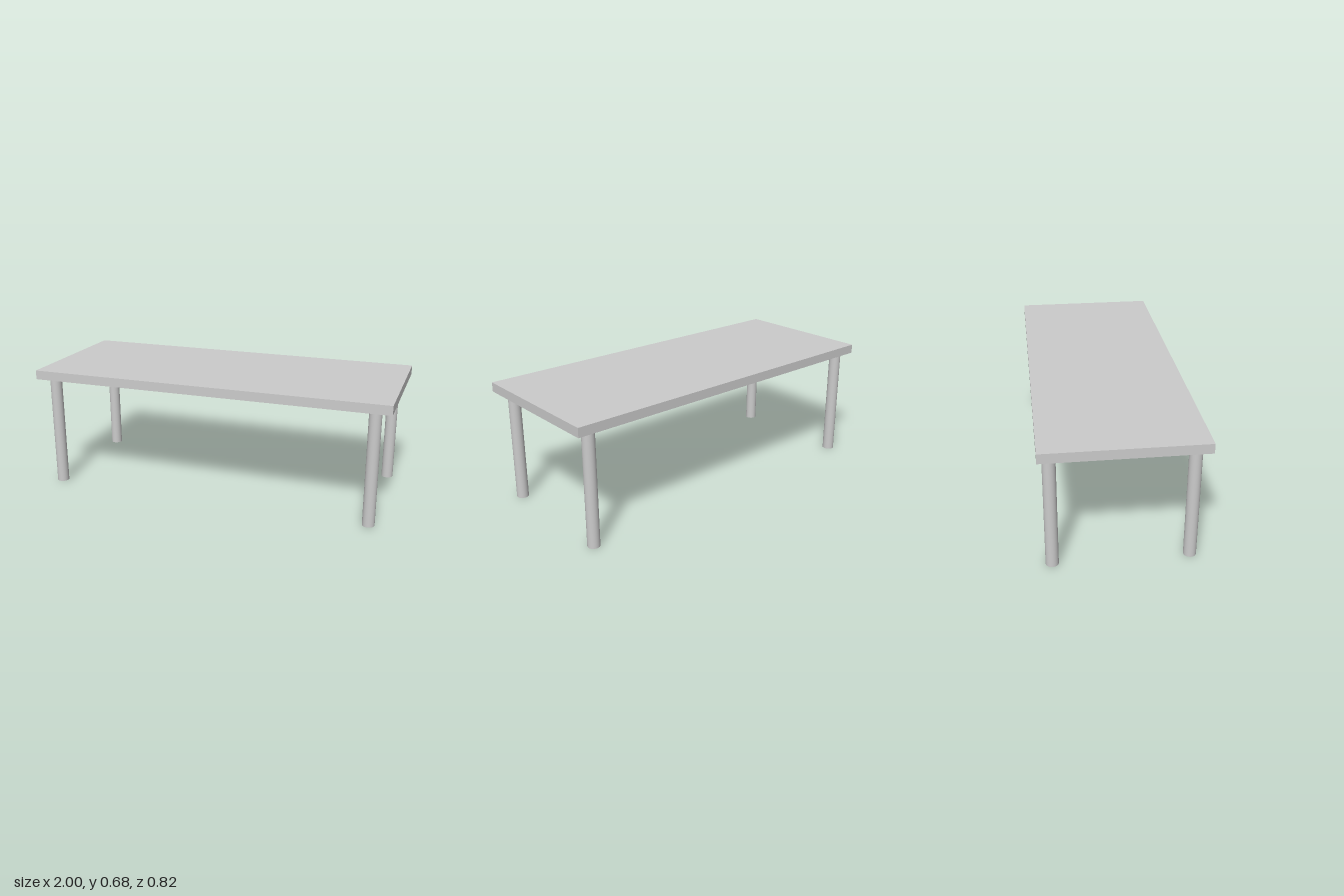
import * as THREE from 'three';

export function createModel() {
  const group = new THREE.Group();
  const material = new THREE.MeshStandardMaterial({ color: 0xcccccc });
  const legHeight = 0.629, topThickness = 0.051;

  // Flat rectangular slab
  const top = new THREE.Mesh(new THREE.BoxGeometry(2, topThickness, 0.818), material);
  top.name = 'tableTop';
  top.position.y = legHeight + topThickness / 2;
  group.add(top);

  // Four round legs, set in from the corners
  const legGeometry = new THREE.CylinderGeometry(0.033, 0.033, legHeight, 32);
  const legs = [
    ['frontLeftLeg', 0.91, 0.35],
    ['frontRightLeg', -0.913, 0.344],
    ['backLeftLeg', 0.91, -0.351],
    ['backRightLeg', -0.913, -0.351],
  ];
  for (const [name, x, z] of legs) {
    const leg = new THREE.Mesh(legGeometry, material);
    leg.name = name;
    leg.position.set(x, legHeight / 2, z);
    group.add(leg);
  }

  return group;
}
